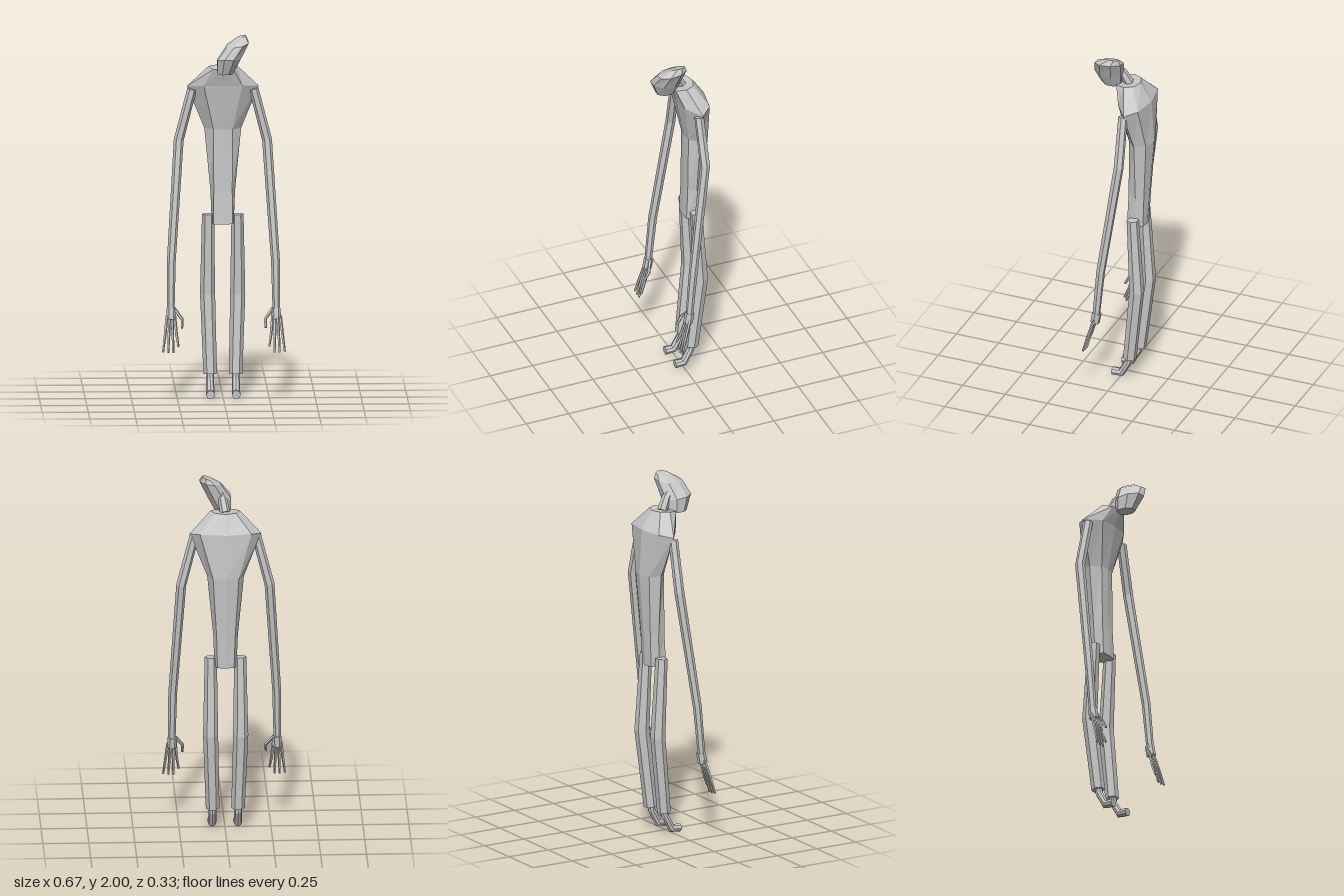
import * as THREE from 'three';

const skin = new THREE.MeshStandardMaterial({ color: 0xc8c8c8 });
skin.name = 'pale grey';

// Skins a list of equal-length point rings and caps both ends, with flat faces.
function loft(name, rings) {
  const pos = [];
  const tri = (a, b, c) => pos.push(...a.toArray(), ...b.toArray(), ...c.toArray());
  const n = rings[0].length;
  for (let i = 0; i < rings.length - 1; i++) {
    for (let j = 0; j < n; j++) {
      const k = (j + 1) % n;
      tri(rings[i][j], rings[i][k], rings[i + 1][k]);
      tri(rings[i][j], rings[i + 1][k], rings[i + 1][j]);
    }
  }
  const first = rings[0], last = rings[rings.length - 1];
  for (let j = 1; j < n - 1; j++) {
    tri(first[0], first[j + 1], first[j]);
    tri(last[0], last[j], last[j + 1]);
  }
  const geometry = new THREE.BufferGeometry();
  geometry.setAttribute('position', new THREE.Float32BufferAttribute(pos, 3));
  geometry.computeVertexNormals();
  const mesh = new THREE.Mesh(geometry, skin);
  mesh.name = name;
  return mesh;
}

// Faceted limb through nodes [x, y, z, radius]; s = -1 mirrors it.
function limb(name, nodes, s = 1, sides = 6) {
  const pts = nodes.map(([x, y, z]) => new THREE.Vector3(x * s, y, z));
  const rings = pts.map((p, i) => {
    const t = new THREE.Vector3();
    if (i > 0) t.add(p.clone().sub(pts[i - 1]).normalize());
    if (i < pts.length - 1) t.add(pts[i + 1].clone().sub(p).normalize());
    t.normalize();
    const u = new THREE.Vector3(1, 0, 0).addScaledVector(t, -t.x).normalize();
    const v = t.clone().cross(u);
    return Array.from({ length: sides }, (_, j) => {
      const a = (j / sides) * Math.PI * 2, r = nodes[i][3];
      return p.clone().addScaledVector(u, Math.cos(a) * r).addScaledVector(v, Math.sin(a) * r);
    });
  });
  return loft(name, rings);
}

// Torso ring from its left half, listed front to back as [x, y, z].
function mirroredRing(half) {
  const left = half.map((p) => new THREE.Vector3(...p));
  const right = left.slice(1, -1).reverse().map((p) => new THREE.Vector3(-p.x, p.y, p.z));
  return [...left, ...right];
}

// Head ring: eight-sided ellipse, optionally sloped along x and z.
function ellipseRing([cx, cy, cz, rx, rz, slopeX, slopeZ]) {
  return Array.from({ length: 8 }, (_, j) => {
    const a = ((j + 0.5) / 8) * Math.PI * 2;
    const dx = Math.cos(a) * rx * 1.06, dz = -Math.sin(a) * rz * 1.06;
    return new THREE.Vector3(cx + dx, cy + dx * slopeX + dz * slopeZ, cz + dz);
  });
}

export function createModel() {
  const model = new THREE.Group();
  model.name = 'thinFigure';

  // Stooped torso, from hips to collar
  model.add(loft('torso', [
    [[0, 0.95, -0.025], [0.053, 0.95, -0.03], [0.06, 0.95, -0.08], [0.045, 0.95, -0.12], [0, 0.95, -0.128]],
    [[0, 1.13, -0.035], [0.05, 1.13, -0.038], [0.067, 1.13, -0.085], [0.05, 1.13, -0.128], [0, 1.13, -0.14]],
    [[0, 1.47, -0.035], [0.052, 1.47, -0.042], [0.1, 1.47, -0.09], [0.07, 1.47, -0.148], [0, 1.47, -0.167]],
    [[0, 1.715, 0.01], [0.105, 1.715, 0], [0.195, 1.705, -0.068], [0.14, 1.72, -0.13], [0, 1.72, -0.153]],
    [[0, 1.805, 0.04], [0.055, 1.81, 0.033], [0.08, 1.82, -0.02], [0.056, 1.82, -0.068], [0, 1.82, -0.088]],
  ].map(mirroredRing)));

  // Neck and tilted head
  model.add(limb('neck', [[0, 1.81, -0.02, 0.028], [0.012, 1.87, 0.01, 0.025], [0.03, 1.91, 0.05, 0.025]]));
  model.add(loft('head', [
    [0.007, 1.792, 0.075, 0.042, 0.054, 0, 0],
    [0.027, 1.87, 0.085, 0.063, 0.08, 0, 0.1],
    [0.078, 1.955, 0.066, 0.059, 0.078, 0.15, -0.1],
    [0.092, 1.988, 0.038, 0.028, 0.038, 0.35, -0.05],
  ].map(ellipseRing)));

  for (const s of [1, -1]) {
    const side = s > 0 ? 'left' : 'right';

    // Trouser leg and bare foot
    model.add(limb(side + 'Leg', [
      [0.08, 1.0, -0.075, 0.033], [0.082, 0.56, -0.1, 0.041], [0.069, 0.125, -0.053, 0.037],
    ], s));
    model.add(limb(side + 'Foot', [
      [0.069, 0.16, -0.055, 0.021], [0.07, 0.1, -0.045, 0.021],
      [0.07, 0.026, -0.005, 0.023], [0.07, 0.024, 0.046, 0.024],
    ], s, 8));

    // Long arm
    model.add(limb(side + 'Arm', [
      [0.168, 1.69, -0.055, 0.026], [0.24, 1.41, -0.06, 0.027],
      [0.283, 0.76, 0.028, 0.024], [0.287, 0.46, 0.055, 0.02],
    ], s));

    // Palm with four fingers and a thumb
    const hand = new THREE.Group();
    hand.name = side + 'Hand';
    hand.add(limb('palm', [[0.284, 0.5, 0.05, 0.026], [0.286, 0.44, 0.06, 0.026]], s));
    for (let i = 0; i < 4; i++) {
      const f = i - 1.5;
      const tipY = [0.3, 0.265, 0.265, 0.27][i];
      hand.add(limb('finger' + (i + 1), [
        [0.287 + f * 0.014, 0.46, 0.058, 0.009],
        [0.288 + f * 0.021, 0.36, 0.088, 0.008],
        [0.289 + f * 0.028, tipY, 0.112, 0.006],
      ], s, 5));
    }
    hand.add(limb('thumb', [
      [0.268, 0.5, 0.048, 0.01], [0.226, 0.445, 0.075, 0.009], [0.228, 0.4, 0.1, 0.007],
    ], s, 5));
    model.add(hand);
  }
  return model;
}
